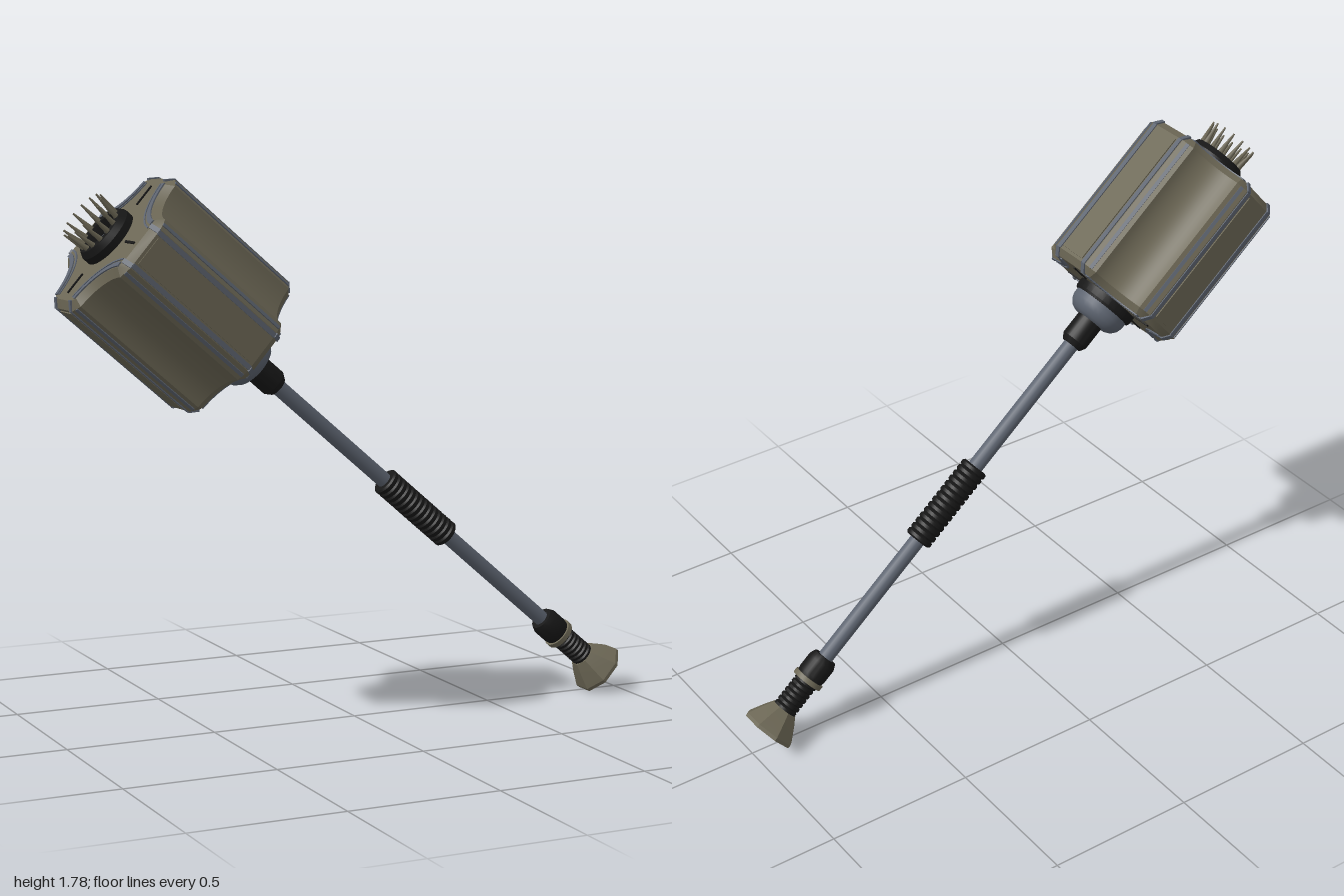
import * as THREE from 'three';
import { toCreasedNormals } from 'three/addons/utils/BufferGeometryUtils.js';

const olive = new THREE.MeshStandardMaterial({ color: 0x6c6755 });
olive.name = 'olive metal';
const steel = new THREE.MeshStandardMaterial({ color: 0x5d6470 });
steel.name = 'blue steel';
const black = new THREE.MeshStandardMaterial({ color: 0x171717 });
black.name = 'black rubber';

function add(parent, name, geometry, material) {
  const mesh = new THREE.Mesh(geometry, material);
  mesh.name = name;
  parent.add(mesh);
  return mesh;
}

// Turned part about the long axis; points are [radius, height], bottom to top
function turned(parent, name, points, material, sides = 28) {
  const g = new THREE.LatheGeometry(points.map(([r, y]) => new THREE.Vector2(r, y)), sides);
  return add(parent, name, toCreasedNormals(g, 0.5), material);
}

// Ribbed sleeve between two heights
function ribbed(parent, name, y0, y1, r, ribs) {
  const pts = [[0, y0]];
  const h = (y1 - y0) / ribs;
  for (let i = 0; i < ribs; i++) {
    const y = y0 + i * h;
    pts.push([r - 0.006, y], [r, y + h * 0.25], [r, y + h * 0.75], [r - 0.006, y + h]);
  }
  pts.push([0, y1]);
  return turned(parent, name, pts, black);
}

// Shape in plan, extruded up the long axis
function upright(shape, y, options) {
  const g = new THREE.ExtrudeGeometry(shape, options);
  g.rotateX(-Math.PI / 2);
  g.translate(0, y, 0);
  return toCreasedNormals(g, 0.4);
}

// Four-armed cross with concave valleys
function crossShape() {
  const s = new THREE.Shape();
  const r = Math.hypot(0.013, 0.138);
  const a0 = Math.atan2(-0.138, -0.013), a1 = Math.atan2(-0.013, -0.138);
  for (let k = 0; k < 4; k++) {
    const turn = k * Math.PI / 2;
    const put = (x, y) => new THREE.Vector2(x, y).rotateAround(new THREE.Vector2(), turn);
    const list = [put(0.26, -0.075), put(0.26, 0.075)];
    for (let i = 0; i <= 14; i++) {
      const a = a0 + (a1 - a0) * i / 14;
      list.push(put(0.25 + r * Math.cos(a), 0.25 + r * Math.sin(a)));
    }
    list.forEach((p, i) => (k === 0 && i === 0 ? s.moveTo(p.x, p.y) : s.lineTo(p.x, p.y)));
  }
  return s;
}

// Curved band around a valley, for the end faces
function arcBand(r0, r1) {
  const a0 = -98 * Math.PI / 180, a1 = -172 * Math.PI / 180;
  const s = new THREE.Shape();
  s.absarc(0.25, 0.25, r0, a0, a1, true);
  s.absarc(0.25, 0.25, r1, a1, a0, false);
  s.closePath();
  return s;
}

function createHead() {
  const head = new THREE.Group();
  head.name = 'head';
  const low = 1.795, high = 2.34, mid = (low + high) / 2, bevel = 0.022;
  add(head, 'headBody', upright(crossShape(), low + bevel, {
    depth: high - low - 2 * bevel, bevelThickness: bevel, bevelSize: bevel,
    bevelOffset: -bevel, bevelSegments: 1, curveSegments: 14,
  }), olive);

  for (let k = 0; k < 4; k++) {
    const arm = new THREE.Group();
    arm.name = 'arm' + (k + 1);
    arm.rotation.y = k * Math.PI / 2;
    head.add(arm);
    // Raised plate on the arm tip
    add(arm, 'tipPlate', new THREE.BoxGeometry(0.008, 0.48, 0.1), olive).position.set(0.26, mid, 0);
    for (const side of [-1, 1]) {
      // Long strips on the tip and its slanted edge
      add(arm, 'tipStrip', new THREE.BoxGeometry(0.007, 0.5, 0.016), steel)
        .position.set(0.26, mid, side * 0.064);
      const edge = add(arm, 'edgeStrip', new THREE.BoxGeometry(0.007, 0.5, 0.012), steel);
      edge.position.set(0.2485, mid, side * 0.0935);
      edge.rotation.y = -side * 0.557;
      // Strips that fold over onto the end faces
      for (const end of [-1, 1]) {
        const fold = add(arm, 'foldStrip', new THREE.BoxGeometry(0.007, 0.036, 0.016), steel);
        fold.position.set(0.249, mid + end * 0.2625, side * 0.067);
        fold.rotation.z = end * Math.PI / 4;
      }
    }
    for (const y of [low - 0.004, high - 0.004]) {
      add(arm, 'endBand', upright(arcBand(0.163, 0.18), y,
        { depth: 0.008, bevelEnabled: false, curveSegments: 14 }), steel);
      add(arm, 'endLine', upright(arcBand(0.188, 0.194), y,
        { depth: 0.007, bevelEnabled: false, curveSegments: 14 }), steel);
      // Slot in the middle of the arm's end face
      add(arm, 'endSlot', new THREE.BoxGeometry(0.075, 0.008, 0.008), black)
        .position.set(0.175, y + 0.004, 0);
    }
  }
  return head;
}

function createCrown() {
  const crown = new THREE.Group();
  crown.name = 'crown';
  turned(crown, 'crownRing', [[0.05, 2.35], [0.05, 2.335], [0.1, 2.335], [0.1, 2.365],
    [0.088, 2.385], [0.06, 2.385], [0.05, 2.35]], black);
  turned(crown, 'crownFloor', [[0.052, 2.352], [0, 2.352]], steel);
  const count = 14;
  for (let i = 0; i < count; i++) {
    const pivot = new THREE.Group();
    pivot.rotation.y = (i + 0.5) / count * Math.PI * 2;
    crown.add(pivot);
    const spike = add(pivot, 'spike', new THREE.CylinderGeometry(0.003, 0.011, 0.095, 6), olive);
    spike.position.set(0.077, 2.412, 0);
    spike.rotation.z = -0.13;
  }
  return crown;
}

export function createModel() {
  const model = new THREE.Group();
  model.name = 'mace';
  const axis = new THREE.Group();
  axis.name = 'tiltedAxis';
  axis.position.set(0.938, 0.068, 0);
  axis.rotation.z = 49.2 * Math.PI / 180;
  model.add(axis);

  // Eight-sided pommel
  const pommel = new THREE.LatheGeometry([[0, 0], [0.094, 0], [0.094, 0.012], [0.066, 0.06],
    [0.046, 0.09], [0, 0.09]].map(([r, y]) => new THREE.Vector2(r, y)), 8, Math.PI / 8);
  add(axis, 'pommel', toCreasedNormals(pommel, 0.2), olive);

  // Lower handle
  ribbed(axis, 'lowerGrip', 0.085, 0.21, 0.041, 7);
  turned(axis, 'gripRing', [[0, 0.205], [0.053, 0.205], [0.053, 0.222], [0, 0.222]], olive);
  turned(axis, 'gripCollar', [[0, 0.222], [0.046, 0.222], [0.049, 0.235], [0.049, 0.285],
    [0.04, 0.305], [0, 0.305]], black);

  // Shaft and middle grip
  add(axis, 'shaft', new THREE.CylinderGeometry(0.026, 0.026, 1.34, 20), steel).position.y = 0.96;
  ribbed(axis, 'middleGrip', 0.79, 1.095, 0.047, 14);

  // Neck under the head
  turned(axis, 'neckSleeve', [[0, 1.6], [0.034, 1.6], [0.046, 1.62], [0.046, 1.72], [0, 1.72]], black);
  turned(axis, 'neckDome', [[0, 1.7], [0.06, 1.7], [0.078, 1.708], [0.092, 1.724], [0.098, 1.742],
    [0.098, 1.765], [0, 1.765]], steel);
  turned(axis, 'neckCollar', [[0, 1.762], [0.104, 1.762], [0.108, 1.77], [0.108, 1.8], [0, 1.8]], black);

  axis.add(createHead(), createCrown());
  return model;
}
